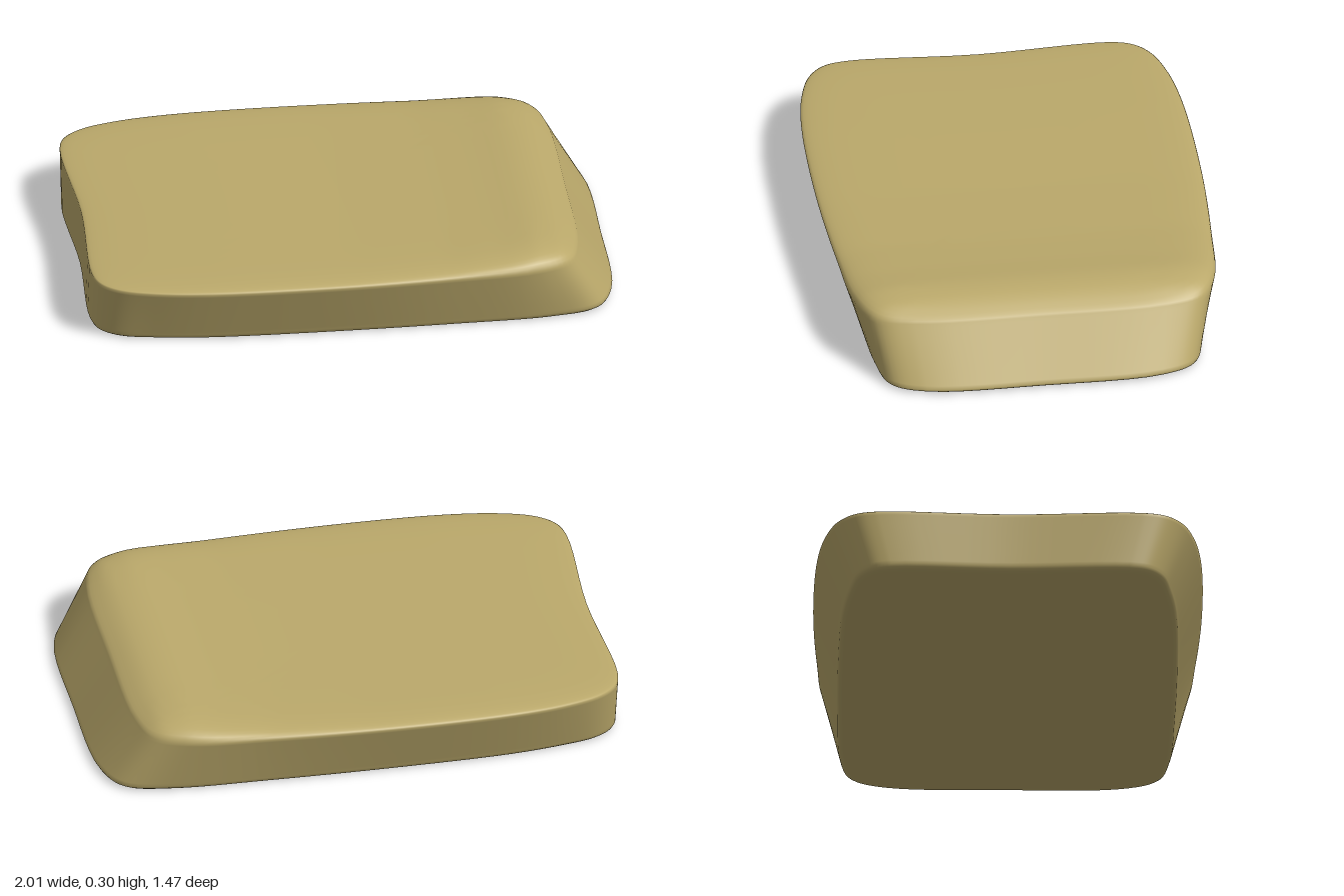
import * as THREE from 'three';

// Half outlines (x, z) from the left end to the sloping right end
const RIM = [[-0.98, 0], [-1, 0.5], [-0.975, 0.59], [-0.91, 0.65], [-0.78, 0.695], [-0.57, 0.725],
  [-0.1, 0.735], [0.37, 0.715], [0.68, 0.685], [0.81, 0.62], [0.855, 0.48], [0.865, 0]];
const BASE = [[-0.985, 0], [-1, 0.45], [-0.975, 0.53], [-0.91, 0.58], [-0.78, 0.61], [-0.57, 0.635],
  [-0.1, 0.645], [0.37, 0.64], [0.75, 0.625], [0.92, 0.58], [0.985, 0.45], [1, 0]];
// Height of the top along x, with a raised lip near the right end
const RIDGE = [[-1, 0.252], [-0.5, 0.259], [0, 0.262], [0.35, 0.27], [0.55, 0.285],
  [0.68, 0.301], [0.78, 0.298], [0.87, 0.265]];
const RIM_Y = 0.237, BASE_Y = 0.022, SEGMENTS = 132;

// Mirror a half outline over z = 0 and sample it as a smooth closed curve
function outline(half) {
  const mirrored = half.slice(1, -1).reverse().map(([x, z]) => [x, -z]);
  const pts = [...half, ...mirrored].map(([x, z]) => new THREE.Vector3(x, 0, z));
  const curve = new THREE.CatmullRomCurve3(pts, true);
  return Array.from({ length: SEGMENTS }, (_, i) => curve.getPoint(i / SEGMENTS));
}

function ridgeHeight(x) {
  let i = 0;
  while (i < RIDGE.length - 2 && x > RIDGE[i + 1][0]) i++;
  const [x0, y0] = RIDGE[i], [x1, y1] = RIDGE[i + 1];
  return THREE.MathUtils.lerp(y0, y1, THREE.MathUtils.clamp((x - x0) / (x1 - x0), 0, 1));
}

function cushionGeometry() {
  const rim = outline(RIM), base = outline(BASE), rings = [];

  // Underside, from its centre out to the rounded lower edge
  for (const [s, y] of [[0, 0.008], [0.5, 0.006], [0.9, 0.002], [0.965, 0.001], [0.985, 0.005], [0.995, 0.012]])
    rings.push(base.map((p) => new THREE.Vector3(p.x * s, y, p.z * s)));

  // Flared side walls
  for (const t of [0, 0.06, 0.25, 0.5, 0.75, 0.94, 1])
    rings.push(base.map((p, i) => {
      const v = p.clone().lerp(rim[i], t);
      v.y = THREE.MathUtils.lerp(BASE_Y, RIM_Y, t);
      return v;
    }));

  // Crowned top, from the rounded shoulder in to the centre
  for (const s of [0.995, 0.985, 0.97, 0.95, 0.92, 0.88, 0.84, 0.8, 0.75, 0.7, 0.64, 0.58, 0.5, 0.4, 0.2, 0])
    rings.push(rim.map((p) => {
      const rise = Math.sqrt(1 - s ** 12);
      const y = RIM_Y + (ridgeHeight(p.x * s) - RIM_Y) * rise;
      return new THREE.Vector3(p.x * s, y, p.z * s);
    }));

  // Join neighbouring rings with quads
  const index = [];
  for (let r = 0; r < rings.length - 1; r++)
    for (let i = 0; i < SEGMENTS; i++) {
      const j = (i + 1) % SEGMENTS;
      const a = r * SEGMENTS + i, b = r * SEGMENTS + j;
      const c = b + SEGMENTS, d = a + SEGMENTS;
      index.push(a, b, c, a, c, d);
    }
  const geometry = new THREE.BufferGeometry().setFromPoints(rings.flat());
  geometry.setIndex(index);
  geometry.computeVertexNormals();
  return geometry;
}

export function createModel() {
  const group = new THREE.Group();
  group.name = 'seatCushion';
  const cushion = new THREE.Mesh(cushionGeometry(), new THREE.MeshStandardMaterial({ color: 0xbba96b }));
  cushion.name = 'cushion';
  group.add(cushion);
  return group;
}
